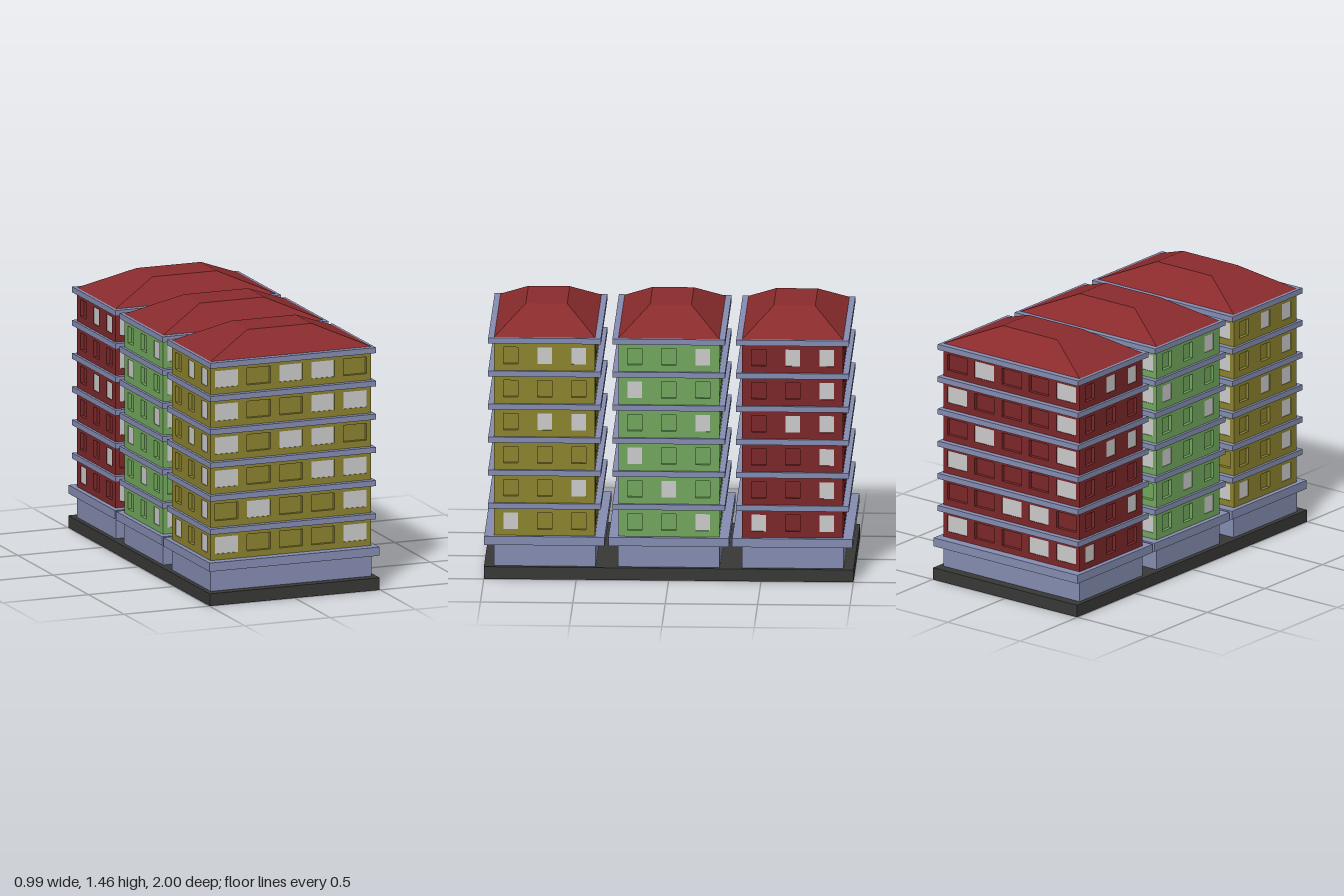
import * as THREE from 'three';

const mat = (color) => new THREE.MeshStandardMaterial({ color, flatShading: true });
const STONE = mat(0x858db2), ROOF = mat(0x8a2b2d), GROUND = mat(0x383937), PANE = mat(0xcccccc);

const HX = 0.47, HZ = 0.273;              // half size of the walls
const FLOORS = 6, STEP = 0.1846, Y0 = 0.238, WALL_TOP = 1.32;
const RECESS = 0.02;

// Window layouts: column positions along the facade, and window width
const LONG = { cols: [-0.376, -0.188, 0, 0.188, 0.376], w: 0.135 };
const SHORT = { cols: [-0.184, 0, 0.184], w: 0.078 };
const WIN_Y = 0.272, WIN_H = 0.093;

function box(name, w, h, d, material, y, parent) {
  const mesh = new THREE.Mesh(new THREE.BoxGeometry(w, h, d), material);
  mesh.name = name;
  mesh.position.y = y + h / 2;
  parent.add(mesh);
  return mesh;
}

// Wall slab with window openings, outer face at z = 0; lit rows run top to bottom
function facade(name, width, layout, lit, wallMat) {
  const group = new THREE.Group();
  group.name = name;
  const shape = new THREE.Shape([
    new THREE.Vector2(-width / 2, Y0 - 0.01), new THREE.Vector2(width / 2, Y0 - 0.01),
    new THREE.Vector2(width / 2, WALL_TOP), new THREE.Vector2(-width / 2, WALL_TOP)]);
  for (let f = 0; f < FLOORS; f++) {
    const y = WIN_Y + f * STEP;
    layout.cols.forEach((x, c) => {
      const l = x - layout.w / 2, r = x + layout.w / 2;
      shape.holes.push(new THREE.Path([
        new THREE.Vector2(l, y), new THREE.Vector2(l, y + WIN_H),
        new THREE.Vector2(r, y + WIN_H), new THREE.Vector2(r, y)]));
      if (lit[FLOORS - 1 - f][c] === '1') {
        const pane = box('litWindow', layout.w, WIN_H, 0.012, PANE, y, group);
        pane.position.x = x;
        pane.position.z = -0.01;
      }
    });
  }
  const wall = new THREE.Mesh(
    new THREE.ExtrudeGeometry(shape, { depth: RECESS, bevelEnabled: false }), wallMat);
  wall.name = 'wall';
  wall.position.z = -RECESS;
  group.add(wall);
  return group;
}

// Hipped roof with a flat top: a box whose upper corners are drawn in
function hipRoof() {
  const h = 0.118;
  const geo = new THREE.BoxGeometry(2 * HX, h, 2 * HZ);
  const p = geo.attributes.position;
  for (let i = 0; i < p.count; i++) {
    if (p.getY(i) > 0) {
      p.setX(i, p.getX(i) * 0.4);
      p.setZ(i, p.getZ(i) * 0.41);
    }
  }
  geo.computeVertexNormals();
  const roof = new THREE.Mesh(geo, ROOF);
  roof.name = 'roof';
  roof.position.y = 1.344 + h / 2;
  return roof;
}

function building({ name, color, z, front, right, back, left }) {
  const group = new THREE.Group();
  group.name = name;
  group.position.z = z;
  const wallMat = mat(color);

  // Plinth, its ledge, and the inner core behind the window recesses
  box('plinth', 2 * HX, 0.14, 0.55, STONE, 0.06, group);
  box('plinthLedge', 0.994, 0.048, 0.652, STONE, 0.19, group);
  box('core', 2 * (HX - RECESS), WALL_TOP - Y0, 2 * (HZ - RECESS), wallMat, Y0, group);

  // Four facades
  const sideWidth = 2 * (HZ - RECESS);
  [['frontFacade', 2 * HX, LONG, front, 0, HZ],
   ['rightFacade', sideWidth, SHORT, right, Math.PI / 2, HX],
   ['backFacade', 2 * HX, LONG, back, Math.PI, HZ],
   ['leftFacade', sideWidth, SHORT, left, -Math.PI / 2, HX]].forEach(([n, w, layout, lit, angle, dist]) => {
    const f = facade(n, w, layout, lit, wallMat);
    f.rotation.y = angle;
    f.position.set(Math.sin(angle) * dist, 0, Math.cos(angle) * dist);
    group.add(f);
  });

  // A ledge above every floor
  for (let f = 0; f < FLOORS; f++) {
    box('floorLedge', 0.97, 0.031, 0.61, STONE, 0.389 + f * STEP, group);
  }
  group.add(hipRoof());
  return group;
}

export function createModel() {
  const model = new THREE.Group();
  model.name = 'apartmentBlocks';
  box('ground', 0.994, 0.068, 2, GROUND, 0, model);

  const yellowFront = ['10110', '10011', '10110', '10011', '01001', '10001'];
  const redBack = ['01001', '10001', '01001', '10001', '00110', '10011'];
  const sides = {
    yellow: ['011', '000', '011', '000', '001', '100'],
    green: ['001', '100', '001', '100', '010', '001'],
    red: ['011', '001', '011', '001', '001', '101'],
  };
  [{ name: 'yellowBuilding', color: 0x8b832f, z: 0.672, right: sides.yellow, left: sides.red },
   { name: 'greenBuilding', color: 0x72a85d, z: 0, right: sides.green, left: sides.green },
   { name: 'redBuilding', color: 0x7d282a, z: -0.67, right: sides.red, left: sides.yellow },
  ].forEach((b) => model.add(building({ front: yellowFront, back: redBack, ...b })));
  return model;
}
